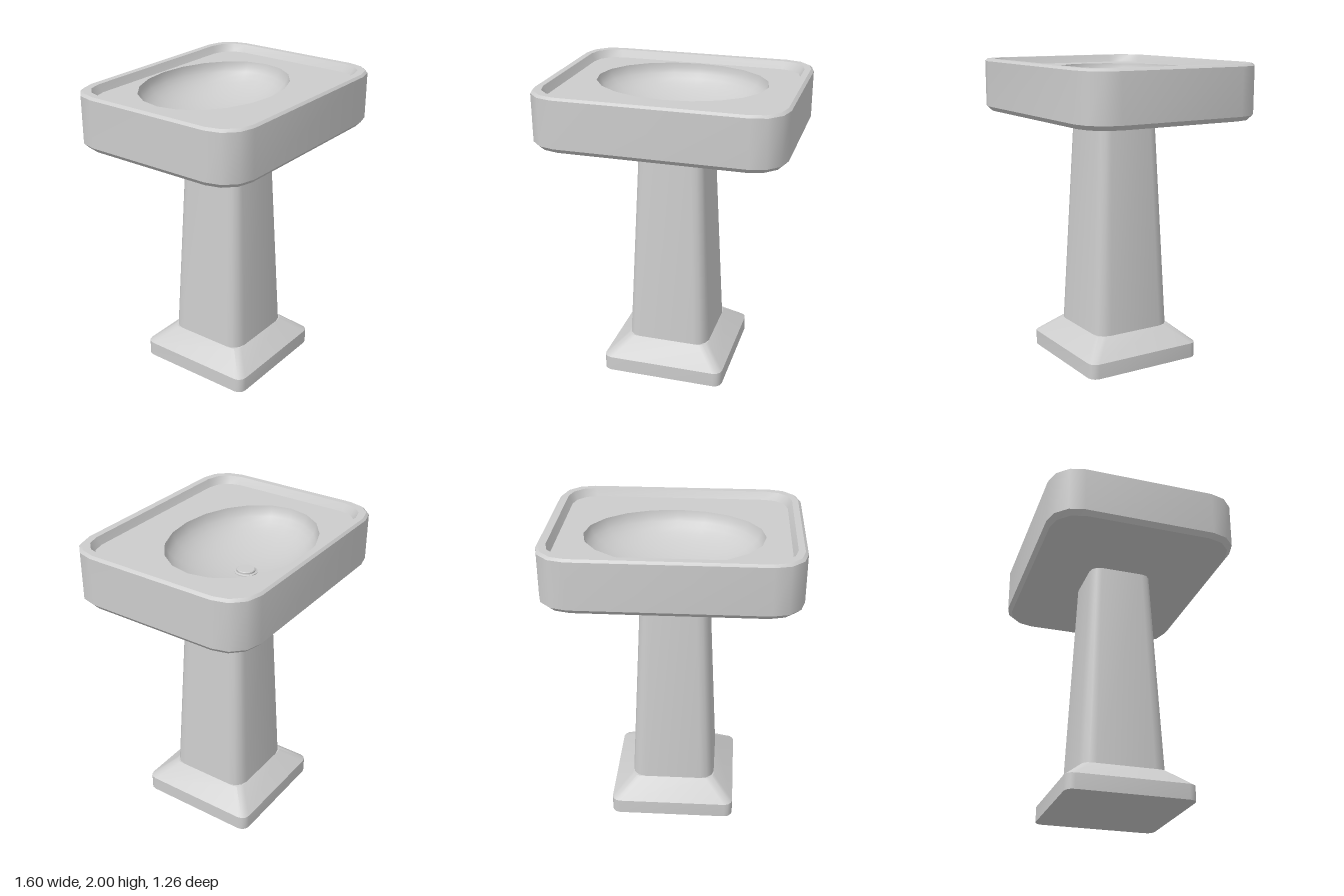
import * as THREE from 'three';
import { toCreasedNormals } from 'three/addons/utils/BufferGeometryUtils.js';

// Rounded rectangle outline as [x, z] points, three facets per corner
function outline(hx, hz, r, seg = 3) {
  const pts = [];
  const corners = [[1, 1], [-1, 1], [-1, -1], [1, -1]];
  corners.forEach(([sx, sz], q) => {
    for (let i = 0; i <= seg; i++) {
      const a = (q + i / seg) * Math.PI / 2;
      pts.push([sx * (hx - r) + r * Math.cos(a), sz * (hz - r) + r * Math.sin(a)]);
    }
  });
  return pts;
}

// Skin a stack of equal-length rings, bottom to top on the outside
function loft(rings, { capBottom = false, capTop = false, crease = 0.62 } = {}) {
  const pos = [], idx = [], n = rings[0].pts.length;
  rings.forEach(({ y, pts }) => pts.forEach(([x, z]) => pos.push(x, y, z)));
  for (let k = 0; k < rings.length - 1; k++) {
    for (let i = 0; i < n; i++) {
      const a = k * n + i, b = k * n + (i + 1) % n;
      idx.push(a, a + n, b, b, a + n, b + n);
    }
  }
  const last = (rings.length - 1) * n;
  for (let i = 1; i < n - 1; i++) {
    if (capBottom) idx.push(0, i, i + 1);
    if (capTop) idx.push(last, last + i + 1, last + i);
  }
  const g = new THREE.BufferGeometry();
  g.setAttribute('position', new THREE.Float32BufferAttribute(pos, 3));
  g.setIndex(idx);
  return toCreasedNormals(g, crease);
}

const ring = (y, hx, hz, r) => ({ y, pts: outline(hx, hz, r) });

export function createModel() {
  const group = new THREE.Group();
  const ceramic = new THREE.MeshStandardMaterial({ color: 0xcccccc });
  ceramic.name = 'ceramic';
  const add = (name, geometry) => {
    const mesh = new THREE.Mesh(geometry, ceramic);
    mesh.name = name;
    group.add(mesh);
    return mesh;
  };

  // Square foot with a sloped shoulder
  add('foot', loft([
    ring(0, 0.415, 0.415, 0.055),
    ring(0.1, 0.415, 0.415, 0.055),
    ring(0.22, 0.28, 0.28, 0.055),
  ], { capBottom: true, capTop: true }));

  // Tapered column
  add('column', loft([
    ring(0.22, 0.28, 0.28, 0.09),
    ring(1.66, 0.213, 0.213, 0.07),
  ]));

  // Basin shell: underside, bevel, wall, rim and inner lip
  const deckY = 1.95;
  add('basinShell', loft([
    ring(1.65, 0.772, 0.605, 0.19),
    ring(1.68, 0.798, 0.632, 0.2),
    ring(1.985, 0.798, 0.632, 0.2),
    ring(2, 0.78, 0.618, 0.19),
    ring(2, 0.74, 0.574, 0.165),
    ring(deckY, 0.715, 0.553, 0.155),
  ], { capBottom: true }));

  // Flat deck with an oval opening
  const sides = 20, bowlX = 0.565, bowlZ = 0.433, bowlCentre = -0.105;
  const oval = (s, cz) => Array.from({ length: sides }, (_, i) => {
    const a = i / sides * Math.PI * 2;
    return [bowlX * s * Math.cos(a), cz + bowlZ * s * Math.sin(a)];
  });
  const toShape = pts => pts.map(([x, z]) => new THREE.Vector2(x, -z));
  const deck = new THREE.Shape(toShape(outline(0.715, 0.553, 0.155)));
  deck.holes.push(new THREE.Path(toShape(oval(1, bowlCentre))));
  const deckGeometry = new THREE.ShapeGeometry(deck);
  deckGeometry.rotateX(-Math.PI / 2);
  add('deck', deckGeometry).position.y = deckY;

  // Bowl, drifting slightly back toward the drain
  const drainZ = -0.13, depth = 0.22, steps = 10, bowl = [];
  for (let k = 0; k <= steps; k++) {
    const t = k / steps * Math.PI / 2 * 0.97;
    const cz = THREE.MathUtils.lerp(bowlCentre, drainZ, k / steps);
    bowl.push({ y: deckY - depth * Math.sin(t), pts: oval(Math.cos(t), cz) });
  }
  add('bowl', loft(bowl, { capTop: true, crease: 0.8 }));

  // Drain flange and plug
  const bowlY = deckY - depth;
  const drain = [[0.073, -0.012], [0.073, 0.008], [0.062, 0.012], [0.058, 0.008],
    [0.058, 0.02], [0.054, 0.024], [0, 0.024]].map(([r, y]) => new THREE.Vector2(r, y));
  const drainMesh = add('drain', toCreasedNormals(new THREE.LatheGeometry(drain, 20), 0.5));
  drainMesh.position.set(0, bowlY, drainZ);

  return group;
}
